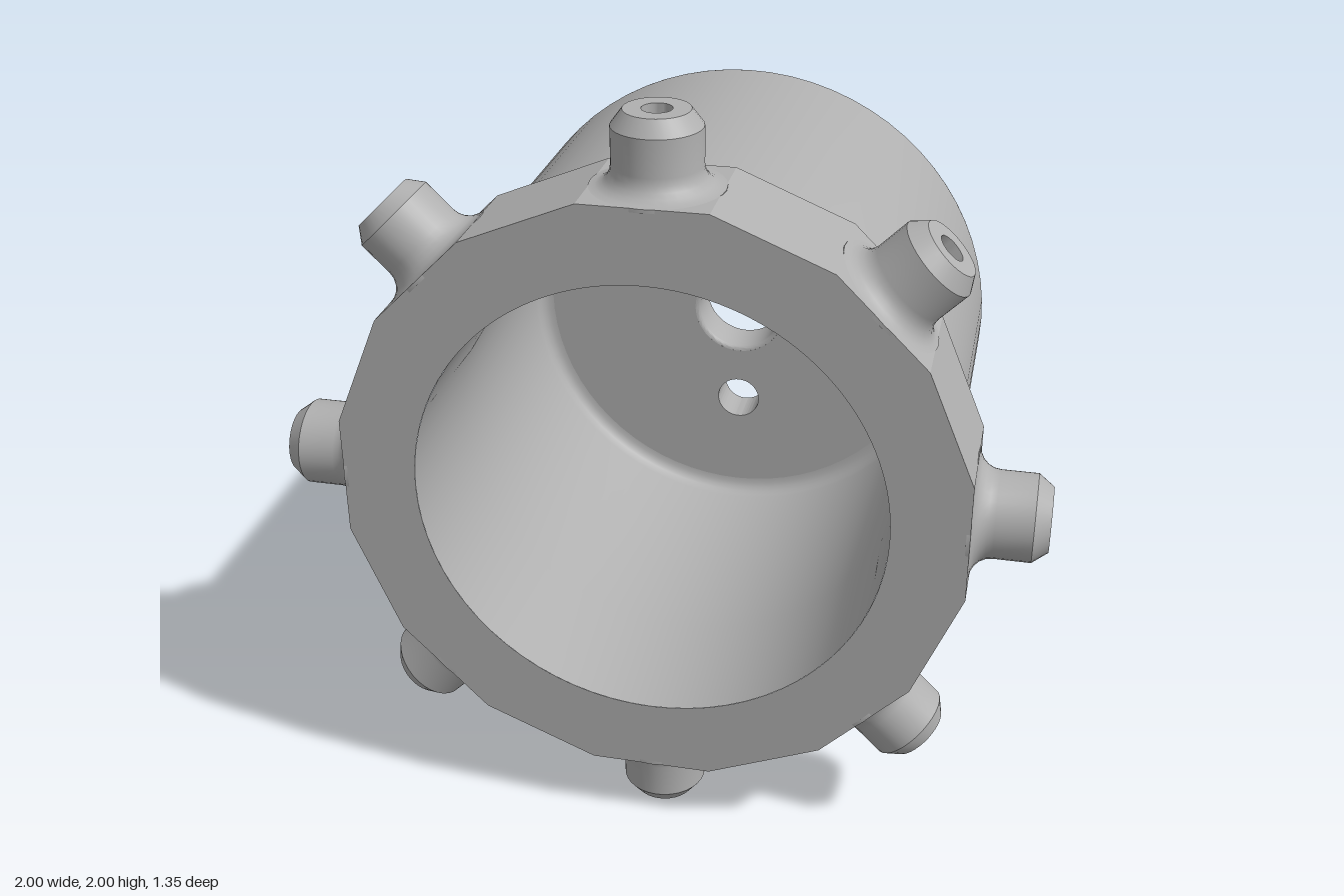
import * as THREE from 'three';
import { toCreasedNormals } from 'three/addons/utils/BufferGeometryUtils.js';

const SIDES = 16;
const FRONT = 0.675, BACK = -0.675, FLOOR = -0.55;

export function createModel() {
  const model = new THREE.Group();
  model.name = 'knobbedCup';
  const grey = new THREE.MeshStandardMaterial({ color: 0xb0b0b0 });
  grey.name = 'grey';

  const add = (name, geometry, parent = body) => {
    const mesh = new THREE.Mesh(geometry, grey);
    mesh.name = name;
    parent.add(mesh);
    return mesh;
  };
  const lathe = (points, segments = 72) => toCreasedNormals(
    new THREE.LatheGeometry(points.map(([r, h]) => new THREE.Vector2(r, h)), segments), 0.5);
  // Turned around the z axis; profile heights become z
  const turned = (points, segments) => lathe(points, segments).rotateX(Math.PI / 2);
  // Arc points for rounded profile edges
  const arc = (cx, cy, r, from, to, steps = 5) => Array.from({ length: steps + 1 }, (_, i) => {
    const a = from + (to - from) * i / steps;
    return [cx + r * Math.cos(a), cy + r * Math.sin(a)];
  });
  const circleHole = (x, y, r) => new THREE.Path().absarc(x, y, r, 0, Math.PI * 2, true);

  // Everything is centred on the cup's axis
  const body = new THREE.Group();
  body.name = 'body';
  body.position.y = 1;
  model.add(body);

  // Round outer wall with softened back edge
  add('outerWall', turned([...arc(0.715, BACK + 0.03, 0.03, -Math.PI / 2, 0), [0.745, 0.31]]));

  // Bore: straight lip, slightly widening wall, rounded floor corner
  add('innerWall', turned([[0.615, FRONT], [0.615, 0.295],
    ...arc(0.605, FLOOR + 0.045, 0.045, 0, -Math.PI / 2)]));

  // Floor with a large centre hole and two small ones
  const disc = new THREE.Shape().absarc(0, 0, 0.715, 0, Math.PI * 2);
  disc.holes.push(circleHole(0, 0, 0.14), circleHole(0, 0.307, 0.065), circleHole(0, -0.307, 0.065));
  const floor = new THREE.ExtrudeGeometry(disc,
    { depth: FLOOR - BACK, bevelEnabled: false, curveSegments: 72 });
  add('floor', toCreasedNormals(floor.translate(0, 0, BACK), 0.5));
  add('centreHoleEdge', turned([...arc(0.14, FLOOR - 0.015, 0.015, Math.PI / 2, Math.PI),
    [0.125, BACK], [0.14, BACK]]));

  // Sixteen-sided flange: flat sides, sloped back edge and end rings
  const corner = (apothem) => apothem / Math.cos(Math.PI / SIDES);
  const band = (frontApothem, backApothem, z0, z1) => {
    const g = new THREE.CylinderGeometry(corner(frontApothem), corner(backApothem), z1 - z0,
      SIDES, 1, true, Math.PI / SIDES).toNonIndexed();
    g.computeVertexNormals();
    return g.rotateX(Math.PI / 2).translate(0, 0, (z0 + z1) / 2);
  };
  const ring = (apothem, hole) => {
    const shape = new THREE.Shape(Array.from({ length: SIDES }, (_, i) => {
      const a = (i + 0.5) * Math.PI * 2 / SIDES;
      return new THREE.Vector2(Math.cos(a), Math.sin(a)).multiplyScalar(corner(apothem));
    }));
    shape.holes.push(circleHole(0, 0, hole));
    return new THREE.ShapeGeometry(shape, 72);
  };
  add('flangeSides', band(0.81, 0.81, 0.355, FRONT));
  add('flangeBackSlope', band(0.81, 0.75, 0.295, 0.355));
  add('flangeFront', ring(0.81, 0.615).translate(0, 0, FRONT));
  add('flangeBack', ring(0.75, 0.74).rotateY(Math.PI).translate(0, 0, 0.295));

  // Eight knobs with flared foot, chamfered tip and small socket
  const knob = lathe([[0.168, 0.8], ...arc(0.168, 0.865, 0.055, -Math.PI / 2, -Math.PI),
    [0.113, 0.96], [0.083, 1], [0.038, 1], [0.038, 0.94], [0, 0.925]], 32);
  for (let i = 0; i < 8; i++) {
    const mesh = add('knob', knob);
    mesh.position.z = 0.51;
    mesh.rotation.z = i * Math.PI / 4;
  }
  return model;
}
